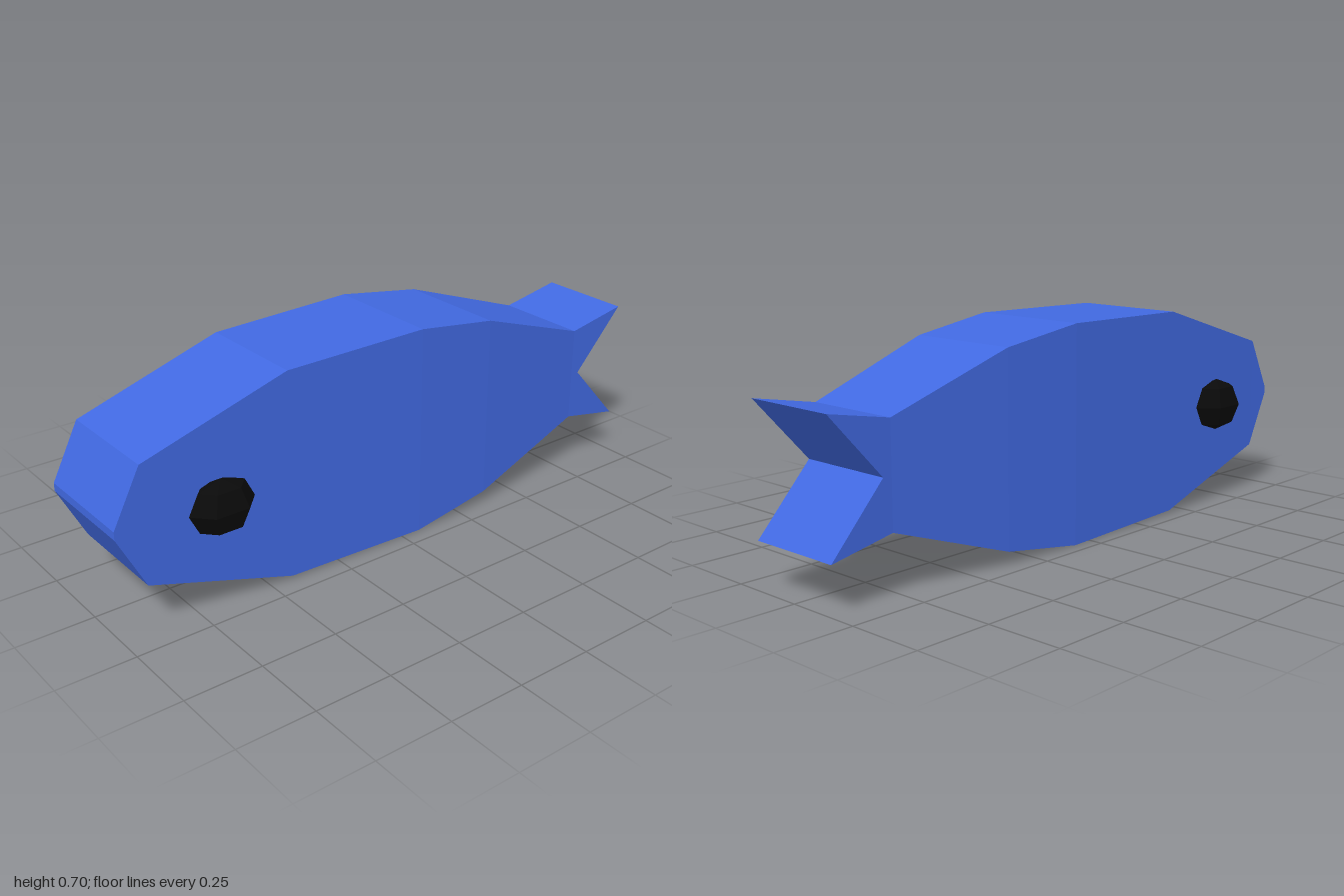
import * as THREE from 'three';

// Side outline as [z, y, half width], nose over the back to the tail fork
const upper = [
  [1, 0.363, 0.181], [0.91, 0.54, 0.182], [0.425, 0.69, 0.189], [-0.07, 0.7, 0.199],
  [-0.36, 0.657, 0.19], [-0.785, 0.511, 0.162], [-1, 0.552, 0.162],
];
const MID = 0.35; // height of the mirror line between back and belly
const X0 = -0.006; // centre of the body across

function bodyGeometry() {
  const lower = upper.map(([z, y, w]) => [z, 2 * MID - y, w]).reverse();
  const outline = [...upper, [-0.815, MID, 0.162], ...lower];
  const n = outline.length;
  const pos = [];
  const put = (side, ...ids) => ids.forEach((i) => {
    const [z, y, w] = outline[i];
    pos.push(X0 + side * w, y, z);
  });

  // Rim running round the outline
  for (let i = 0; i < n; i++) {
    const j = (i + 1) % n;
    put(1, i, j); put(-1, j);
    put(1, i); put(-1, j, i);
  }
  // Flanks: strips from back to belly, then the forked tail
  const tris = [[5, 6, 7], [5, 7, 9], [7, 8, 9]];
  for (let i = 0; i < 5; i++) tris.push([i, i + 1, n - 2 - i], [i, n - 2 - i, n - 1 - i]);
  for (const [a, b, c] of tris) {
    put(1, c, b, a);
    put(-1, a, b, c);
  }

  const g = new THREE.BufferGeometry();
  g.setAttribute('position', new THREE.Float32BufferAttribute(pos, 3));
  g.computeVertexNormals();
  return g;
}

export function createModel() {
  const group = new THREE.Group();
  group.name = 'fish';
  const blue = new THREE.MeshStandardMaterial({ name: 'fish blue', color: 0x4169e1, flatShading: true });
  const black = new THREE.MeshStandardMaterial({ name: 'eye black', color: 0x0a0a0a, flatShading: true });

  const body = new THREE.Mesh(bodyGeometry(), blue);
  body.name = 'body';
  group.add(body);

  // Coarse faceted eyes set into both flanks
  const eyeGeometry = new THREE.SphereGeometry(1, 6, 4).rotateY(Math.PI / 2).scale(0.068, 0.089, 0.11);
  for (const side of [1, -1]) {
    const eye = new THREE.Mesh(eyeGeometry, black);
    eye.name = side > 0 ? 'leftEye' : 'rightEye';
    eye.position.set(side * 0.202, 0.345, 0.672);
    group.add(eye);
  }
  return group;
}
